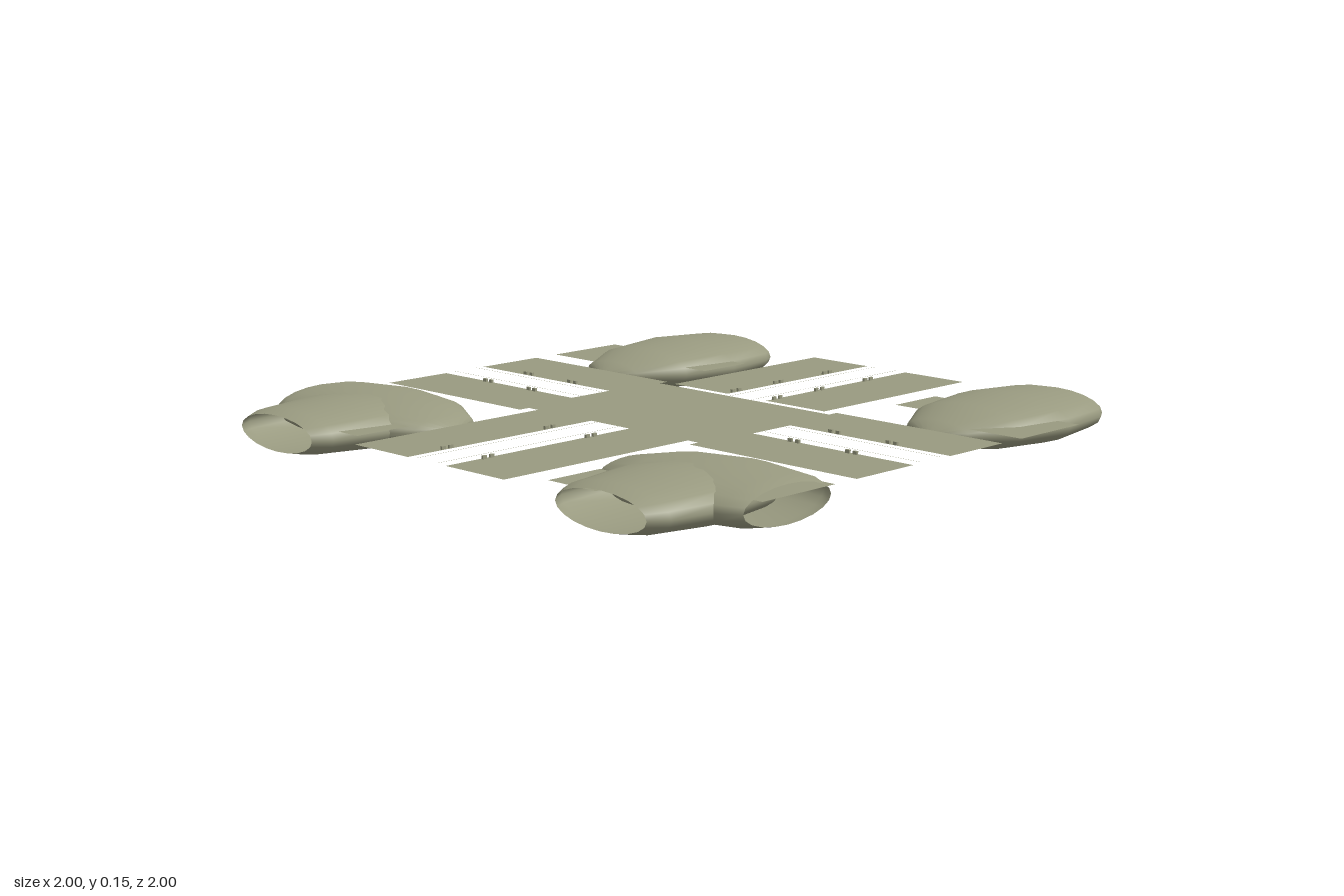
import * as THREE from 'three';

const Y = 0.105; // height of the flat ground plates
const mat = new THREE.MeshStandardMaterial({ color: 0x999a80, side: THREE.DoubleSide });

export function createModel() {
  const model = new THREE.Group();

  function add(name, geometry) {
    const mesh = new THREE.Mesh(geometry, mat);
    mesh.name = name;
    model.add(mesh);
    return mesh;
  }

  // Flat rectangle from (x0, z0) to (x1, z1)
  function plate(name, x0, x1, z0, z1) {
    const g = new THREE.PlaneGeometry(Math.abs(x1 - x0), Math.abs(z1 - z0)).rotateX(-Math.PI / 2);
    add(name, g).position.set((x0 + x1) / 2, Y, (z0 + z1) / 2);
  }

  // Crossing and the paved strips beside each road
  plate('crossing', -0.365, 0.365, -0.29, 0.285);
  for (const s of [-1, 1]) {
    const inner = s < 0 ? -0.085 : 0.08;
    plate('crossingEdge', s * 0.365, s * 0.39, -0.085, 0.08);
    plate('backPavement', inner, s * 0.323, -1, -0.315);
    plate('frontPavement', inner, s * 0.323, 0.285, 1);
    plate('sidePavement', s * 0.365, s, -0.325, -0.085);
    plate('sidePavement', s * 0.365, s, 0.08, 0.322);

    // Small plots that reach out from under the mounds
    plate('backOuterPlot', s * 0.8, s, -0.7, -0.415);
    plate('backInnerPlot', s * 0.413, s * 0.6, -0.745, -0.55);
    plate('frontOuterPlot', s * 0.8, s, 0.41, 0.7);
    plate('frontInnerPlot', s * 0.413, s * 0.6, 0.725, 0.92);
  }

  // Flattened mound: a coarse ellipsoid cut open at the outer edge, tip towards +z
  const profile = [[0.173, -0.255], [0.208, -0.2], [0.24, 0], [0.208, 0.2], [0.12, 0.346], [0, 0.4]];
  const moundGeometry = new THREE.LatheGeometry(profile.map(([r, h]) => new THREE.Vector2(r, h)), 20)
    .rotateX(Math.PI / 2)
    .scale(1, 0.077 / 0.24, 1);

  function mound(name, x, z, turn) {
    const mesh = add(name, moundGeometry);
    mesh.position.set(x, 0.082, z);
    mesh.rotation.y = turn;
  }
  for (const s of [-1, 1]) {
    mound('backMound', s * 0.7, -0.745, 0);
    mound('frontMound', s * 0.7, 0.745, Math.PI);
    mound('sideMound', s * 0.745, 0.6, -s * Math.PI / 2);
  }

  // Hairline kerbs that round each corner of the crossing
  const a = 0.045, w = 0.002, r = 0.035;
  const kerb = new THREE.Shape();
  kerb.moveTo(1, a);
  kerb.lineTo(a + r, a);
  kerb.quadraticCurveTo(a, a, a, a + r);
  kerb.lineTo(a, 1);
  kerb.lineTo(a + w, 1);
  kerb.lineTo(a + w, a + r);
  kerb.quadraticCurveTo(a + w, a + w, a + r, a + w);
  kerb.lineTo(1, a + w);
  const kerbGeometry = new THREE.ShapeGeometry(kerb, 6).rotateX(-Math.PI / 2);
  for (let i = 0; i < 4; i++) {
    const mesh = add('kerb', kerbGeometry);
    mesh.rotation.y = i * Math.PI / 2;
    mesh.position.set(-0.003, Y + 0.002, -0.003);
  }

  // Tiny roadside blocks, in pairs along the pavement edges
  const block = new THREE.BoxGeometry(0.008, 0.01, 0.014);
  function blocks(x, z, alongX) {
    for (const d of [-0.014, 0.014]) {
      const mesh = add('roadsideBlock', block);
      mesh.position.set(x + (alongX ? d : 0), Y + 0.005, z + (alongX ? 0 : d));
      mesh.rotation.y = alongX ? Math.PI / 2 : 0;
    }
  }
  for (const side of [-0.091, 0.087]) {
    for (const z of [-0.8, -0.56, -0.36, 0.45, 0.85]) blocks(side, z, false);
    for (const x of [-0.78, -0.57, 0.56, 0.78]) blocks(x, side, true);
  }

  return model;
}
